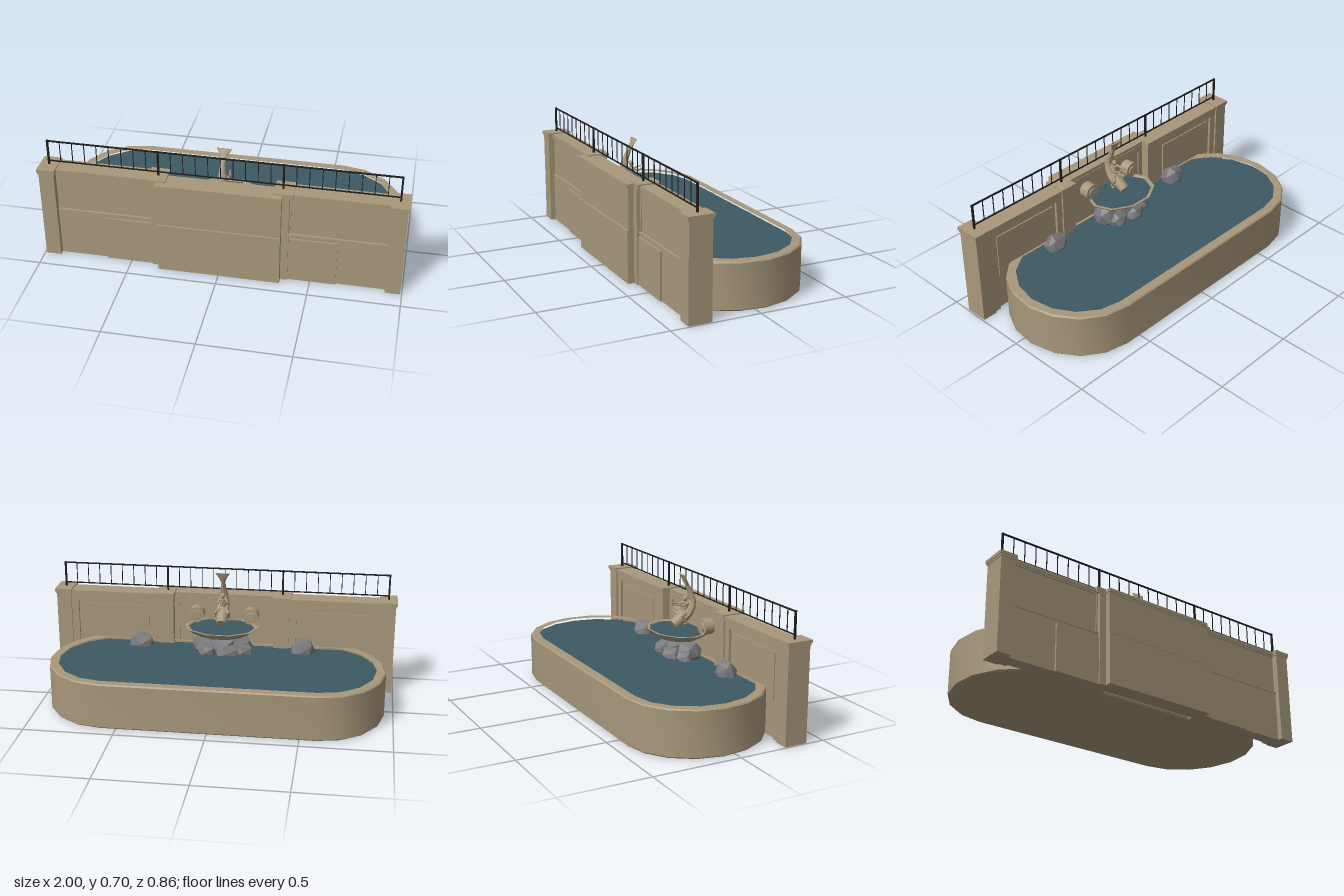
import * as THREE from 'three';
import { toCreasedNormals } from 'three/addons/utils/BufferGeometryUtils.js';
import { ConvexGeometry } from 'three/addons/geometries/ConvexGeometry.js';

const mat = (name, color) => Object.assign(new THREE.MeshStandardMaterial({ color }), { name });

export function createModel() {
  const stone = mat('sandstone', 0xa8987b);
  const water = mat('water', 0x3d5963);
  const rock = mat('grey rock', 0x79797b);
  const iron = mat('black iron', 0x1e1e1e);
  const model = new THREE.Group();
  model.name = 'wallFountain';

  const add = (name, geo, material = stone, parent = model) => {
    const m = new THREE.Mesh(geo, material);
    m.name = name;
    parent.add(m);
    return m;
  };
  const group = (name) => {
    const g = new THREE.Group();
    g.name = name;
    model.add(g);
    return g;
  };
  // box from its limits on each axis
  const box = (name, x0, x1, y0, y1, z0, z1, material, parent) => {
    const g = new THREE.BoxGeometry(x1 - x0, y1 - y0, z1 - z0);
    g.translate((x0 + x1) / 2, (y0 + y1) / 2, (z0 + z1) / 2);
    return add(name, g, material, parent);
  };
  // the same box on both sides
  const pair = (name, x0, x1, ...rest) => {
    box(name + 'Left', x0, x1, ...rest);
    box(name + 'Right', -x1, -x0, ...rest);
  };
  // tapered round bar between two points
  const bar = (name, a, b, r0, r1, parent, sides = 8) => {
    const p = new THREE.Vector3(...a), q = new THREE.Vector3(...b), d = q.clone().sub(p);
    const m = add(name, new THREE.CylinderGeometry(r1, r0, d.length(), sides), stone, parent);
    m.position.copy(p).add(q).multiplyScalar(0.5);
    m.quaternion.setFromUnitVectors(new THREE.Vector3(0, 1, 0), d.normalize());
    return m;
  };

  // ---- Large basin: straight back, rounded ends, cut off at the wall ----
  const outline = (inset, zEnd) => {
    const rx = 0.36 - inset, rz = 0.39 - inset, cx = 0.59, cz = -0.04;
    const last = Math.asin((zEnd - cz) / rz), half = [];
    for (let i = 0; i <= 7; i++) {
      const t = -Math.PI / 2 + (last + Math.PI / 2) * i / 7;
      half.push([cx + rx * Math.cos(t), -(cz + rz * Math.sin(t))]);
    }
    const mirror = half.map(([x, y]) => [-x, y]).reverse();
    return [...half, ...mirror].map(([x, y]) => new THREE.Vector2(x, y));
  };
  const slab = (shape, depth, bevel = 0) => {
    const g = new THREE.ExtrudeGeometry(shape, {
      depth: depth - 2 * bevel, bevelEnabled: bevel > 0, bevelThickness: bevel,
      bevelSize: bevel, bevelOffset: -bevel, bevelSegments: 1,
    });
    g.translate(0, 0, bevel);
    g.rotateX(-Math.PI / 2);
    return toCreasedNormals(g, 0.6);
  };
  const ring = new THREE.Shape(outline(0, 0.3));
  ring.holes.push(new THREE.Path(outline(0.045, 0.285)));
  add('basinWall', slab(ring, 0.26, 0.007));
  add('basinFloor', slab(new THREE.Shape(outline(0.008, 0.295)), 0.22));
  const pool = add('poolWater', slab(new THREE.Shape(outline(0.04, 0.29)), 0.02), water);
  pool.position.y = 0.225;

  // ---- Wall: end pillars, side bays, inner pilasters, centre bay ----
  pair('endPillar', 0.907, 0.992, 0, 0.535, 0.27, 0.4);
  pair('endPillarNeck', 0.903, 0.996, 0.525, 0.538, 0.266, 0.404);
  pair('endPillarCap', 0.9, 1, 0.537, 0.555, 0.261, 0.408);
  pair('bayWall', 0.33, 0.91, 0, 0.53, 0.295, 0.365);
  pair('bayPlinth', 0.33, 0.91, 0, 0.285, 0.3, 0.372);
  pair('bayLedge', 0.33, 0.91, 0.285, 0.295, 0.3, 0.378);
  pair('bayCoping', 0.33, 0.91, 0.53, 0.548, 0.268, 0.378);
  pair('bayCopingNeck', 0.33, 0.91, 0.52, 0.53, 0.275, 0.372);
  pair('frontPanel', 0.37, 0.64, 0, 0.268, 0.36, 0.382);
  pair('innerPilaster', 0.295, 0.385, 0, 0.53, 0.27, 0.37);
  pair('pilasterStrip', 0.335, 0.376, 0, 0.53, 0.36, 0.39);
  pair('pilasterCap', 0.29, 0.395, 0.535, 0.555, 0.261, 0.392);
  pair('pilasterNeck', 0.293, 0.39, 0.525, 0.536, 0.266, 0.39);
  box('centreWall', -0.337, 0.337, 0, 0.53, 0.325, 0.42);
  box('centrePlinth', -0.337, 0.337, 0, 0.285, 0.33, 0.427);
  box('centreLedge', -0.337, 0.337, 0.285, 0.295, 0.33, 0.43);
  box('centreNeck', -0.337, 0.337, 0.52, 0.53, 0.32, 0.424);
  box('centreCoping', -0.342, 0.342, 0.53, 0.548, 0.315, 0.43);

  // raised mouldings round the sunk panels on the pool side
  pair('bayFrameTop', 0.38, 0.91, 0.485, 0.525, 0.28, 0.3);
  pair('bayFrameOuter', 0.865, 0.91, 0, 0.49, 0.28, 0.3);
  pair('bayFrameInner', 0.38, 0.425, 0, 0.49, 0.28, 0.3);
  pair('bayInsetPanel', 0.445, 0.845, 0.2, 0.465, 0.288, 0.3);
  box('nicheFrameTop', -0.3, 0.3, 0.49, 0.525, 0.317, 0.33);
  pair('nicheFrameSide', 0.265, 0.3, 0.2, 0.495, 0.317, 0.33);

  // round bosses either side of the sculpture
  for (const s of [-1, 1]) {
    bar('wallBoss', [s * 0.16, 0.43, 0.33], [s * 0.16, 0.43, 0.267], 0.046, 0.046, model, 16);
    bar('wallBossCentre', [s * 0.16, 0.43, 0.27], [s * 0.16, 0.43, 0.262], 0.03, 0.026, model, 16);
  }

  // ---- Railing ----
  const railing = group('railing');
  const posts = [-0.95, -0.34, 0.335, 0.948], z = 0.333;
  posts.forEach((x) => box('railPost', x - 0.005, x + 0.005, 0.54, 0.703, z - 0.005, z + 0.005, iron, railing));
  box('topRail', -0.95, 0.948, 0.695, 0.702, z - 0.004, z + 0.004, iron, railing);
  box('bottomRail', -0.95, 0.948, 0.574, 0.58, z - 0.003, z + 0.003, iron, railing);
  [9, 10, 9].forEach((n, k) => {
    for (let i = 1; i < n; i++) {
      const x = posts[k] + (posts[k + 1] - posts[k]) * i / n;
      box('baluster', x - 0.002, x + 0.002, 0.576, 0.698, z - 0.002, z + 0.002, iron, railing);
    }
  });

  // ---- Upper bowl with its water ----
  const profile = [[0.0, 0.33], [0.08, 0.335], [0.15, 0.35], [0.195, 0.375], [0.215, 0.392], [0.197, 0.392], [0.188, 0.38], [0, 0.378]];
  const bowl = add('upperBowl', toCreasedNormals(
    new THREE.LatheGeometry(profile.map(([r, y]) => new THREE.Vector2(r, y)), 10, Math.PI / 10), 0.5));
  bowl.scale.z = 0.78;
  bowl.position.z = 0.202;
  const bowlWater = add('bowlWater', new THREE.CylinderGeometry(0.191, 0.191, 0.006, 10, 1, false, Math.PI / 10), water);
  bowlWater.scale.z = 0.78;
  bowlWater.position.set(0, 0.383, 0.202);

  // ---- Rocks ----
  let seed = 7;
  const rand = () => (seed = (seed * 16807) % 2147483647) / 2147483647;
  const rocks = group('rocks');
  const boulder = (x, y, bz, sx, sy, sz) => {
    const pts = [];
    for (let i = 0; i < 18; i++) {
      const h = 1 - 2 * (i + 0.5) / 18, a = i * 2.4 + rand() * 0.6, r = Math.sqrt(1 - h * h);
      pts.push(new THREE.Vector3(r * Math.cos(a) * sx, h * sy, r * Math.sin(a) * sz));
    }
    add('boulder', new ConvexGeometry(pts), rock, rocks).position.set(x, y, bz);
  };
  boulder(-0.47, 0.25, 0.235, 0.075, 0.085, 0.06);
  boulder(0.48, 0.25, 0.235, 0.075, 0.075, 0.06);
  boulder(0, 0.275, 0.21, 0.1, 0.085, 0.09);
  boulder(-0.1, 0.27, 0.22, 0.08, 0.08, 0.075);
  boulder(0.1, 0.27, 0.22, 0.08, 0.08, 0.075);
  boulder(-0.04, 0.25, 0.14, 0.07, 0.055, 0.055);
  boulder(0.08, 0.25, 0.15, 0.06, 0.06, 0.05);
  boulder(-0.13, 0.25, 0.18, 0.06, 0.055, 0.055);

  // ---- Fish: lofted body, z, y, half width, half thickness ----
  const fish = group('fish');
  const sections = [
    [0.2, 0.43, 0.03, 0.028], [0.235, 0.45, 0.038, 0.032], [0.265, 0.475, 0.038, 0.03],
    [0.288, 0.51, 0.034, 0.026], [0.296, 0.55, 0.027, 0.022], [0.284, 0.595, 0.018, 0.018],
    [0.263, 0.64, 0.012, 0.012], [0.246, 0.672, 0.024, 0.008], [0.233, 0.702, 0.042, 0.005]];
  const sides = 8, pos = [], idx = [];
  sections.forEach(([cz, cy, hx, ht], i) => {
    const p = sections[Math.max(i - 1, 0)], q = sections[Math.min(i + 1, sections.length - 1)];
    const dz = q[0] - p[0], dy = q[1] - p[1], l = Math.hypot(dz, dy);
    for (let j = 0; j < sides; j++) {
      const a = j / sides * 2 * Math.PI, t = Math.sin(a) * ht;
      pos.push(Math.cos(a) * hx, cy - t * dz / l, cz + t * dy / l);
      if (i) {
        const k = (j + 1) % sides, b = (i - 1) * sides, c = i * sides;
        idx.push(b + j, c + j, b + k, b + k, c + j, c + k);
      }
    }
  });
  const top = (sections.length - 1) * sides;
  for (let j = 1; j < sides - 1; j++) idx.push(0, j, j + 1, top, top + j + 1, top + j);
  // orient faces outward: the ring runs from +x towards +z while the body climbs
  for (let i = 0; i < idx.length; i += 3) {
    if (i < (sections.length - 1) * sides * 6) continue;
    [idx[i + 1], idx[i + 2]] = [idx[i + 2], idx[i + 1]];
  }
  for (let i = (sections.length - 1) * sides * 6; i < idx.length; i += 3) [idx[i + 1], idx[i + 2]] = [idx[i + 2], idx[i + 1]];
  const body = new THREE.BufferGeometry();
  body.setAttribute('position', new THREE.Float32BufferAttribute(pos, 3));
  body.setIndex(idx);
  add('fishBody', toCreasedNormals(body, 0.4), stone, fish);
  bar('fishHead', [0, 0.452, 0.225], [0, 0.417, 0.173], 0.036, 0.03, fish, 8);

  // ---- Seated figure riding the fish ----
  const figure = group('seatedFigure');
  const ball = (name, x, y, bz, r, sy = 1) => {
    const m = add(name, new THREE.SphereGeometry(r, 12, 8), stone, figure);
    m.position.set(x, y, bz);
    m.scale.y = sy;
  };
  ball('head', 0, 0.561, 0.25, 0.013, 1.15);
  ball('hair', 0, 0.567, 0.253, 0.013, 0.8);
  bar('neck', [0, 0.535, 0.254], [0, 0.555, 0.251], 0.006, 0.006, figure);
  bar('torso', [0, 0.483, 0.252], [0, 0.54, 0.255], 0.015, 0.02, figure);
  ball('hips', 0, 0.482, 0.25, 0.019);
  for (const s of [-1, 1]) {
    ball('shoulder', s * 0.02, 0.535, 0.254, 0.008);
    bar('upperArm', [s * 0.021, 0.535, 0.252], [s * 0.028, 0.525, 0.222], 0.007, 0.006, figure);
    bar('forearm', [s * 0.028, 0.525, 0.222], [s * 0.022, 0.536, 0.192], 0.006, 0.004, figure);
    ball('hand', s * 0.021, 0.537, 0.188, 0.005);
    bar('thigh', [s * 0.014, 0.482, 0.25], [s * 0.036, 0.472, 0.215], 0.012, 0.009, figure);
    ball('knee', s * 0.036, 0.472, 0.215, 0.009);
    bar('shin', [s * 0.036, 0.472, 0.215], [s * 0.038, 0.43, 0.24], 0.009, 0.006, figure);
    bar('foot', [s * 0.038, 0.428, 0.245], [s * 0.038, 0.422, 0.22], 0.006, 0.005, figure);
  }
  return model;
}
